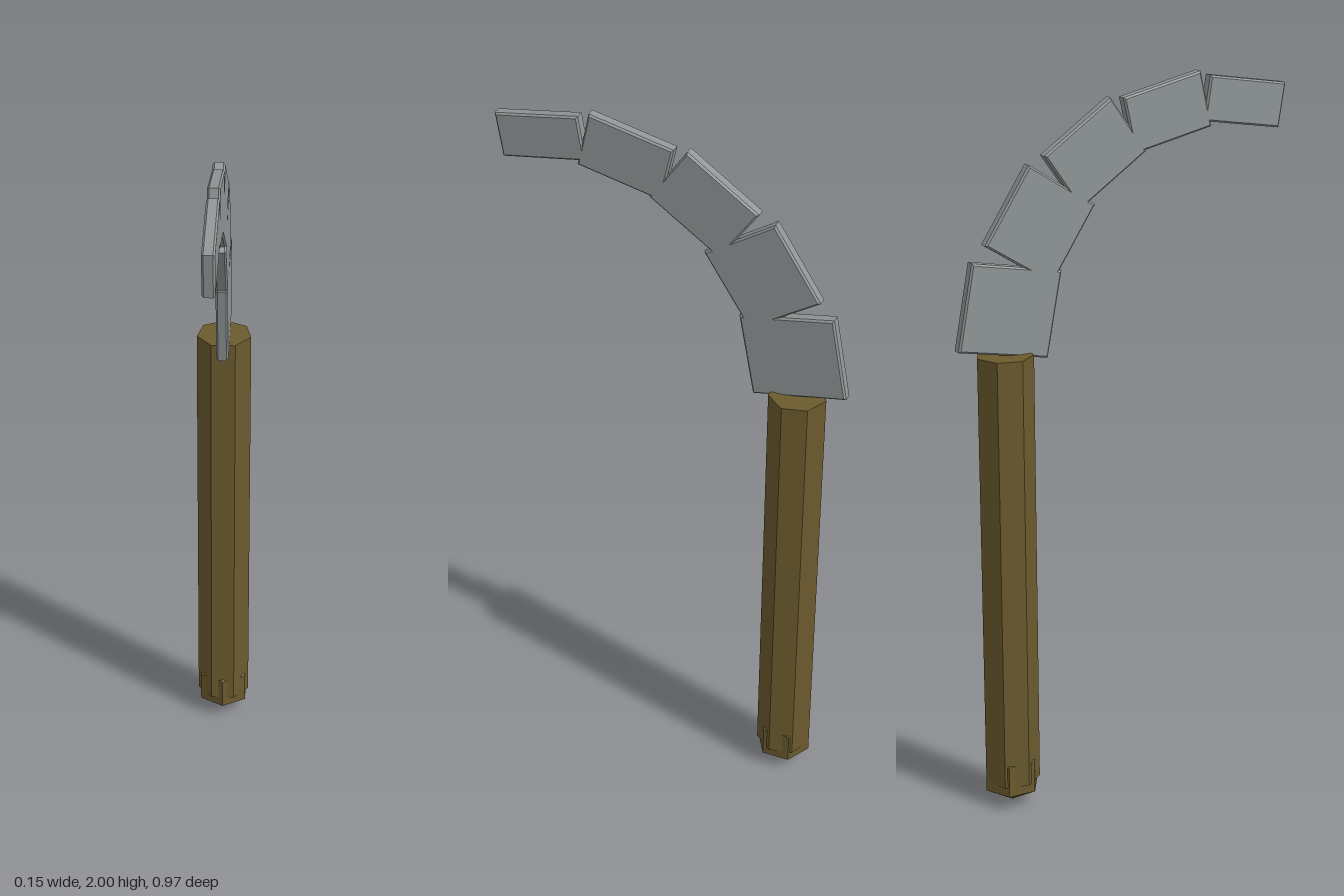
import * as THREE from 'three';

const wood = new THREE.MeshStandardMaterial({ color: 0x6b5a2e, flatShading: true });
const steel = new THREE.MeshStandardMaterial({ color: 0x909696, flatShading: true });

const HANDLE_Z = -0.35;
const THICKNESS = 0.033;
const LENGTH = 0.236;
const BEVEL = 0.005;

// Flat plate with chamfered edges: length along y, width along z, thickness along x
function plateGeometry(width, length) {
  const w = width / 2 - BEVEL, l = length / 2 - BEVEL;
  const shape = new THREE.Shape([
    new THREE.Vector2(-w, -l), new THREE.Vector2(w, -l),
    new THREE.Vector2(w, l), new THREE.Vector2(-w, l),
  ]);
  const depth = THICKNESS - 2 * BEVEL;
  const geometry = new THREE.ExtrudeGeometry(shape, {
    depth, bevelEnabled: true, bevelSize: BEVEL, bevelThickness: BEVEL, bevelSegments: 1,
  });
  return geometry.translate(0, 0, -depth / 2).rotateY(Math.PI / 2);
}

export function createModel() {
  const model = new THREE.Group();
  model.name = 'sickle';

  // Seven-sided handle with one ridge at the back
  const handle = new THREE.Mesh(
    new THREE.CylinderGeometry(0.078, 0.078, 1.225, 7, 1, false, Math.PI), wood);
  handle.name = 'handle';
  handle.position.set(0, 0.6875, HANDLE_Z);
  model.add(handle);

  // Faceted knob closing the lower end
  const pommel = new THREE.Mesh(new THREE.SphereGeometry(0.09, 6, 3, Math.PI / 2), wood);
  pommel.name = 'pommel';
  pommel.position.set(0, 0.093, HANDLE_Z);
  model.add(pommel);

  // Overlapping plates curling forward and narrowing: [z, y, width, tilt in degrees]
  const blade = new THREE.Group();
  blade.name = 'blade';
  [
    [-0.336, 1.419, 0.260, 10.5],
    [-0.246, 1.638, 0.225, 32.6],
    [-0.085, 1.810, 0.181, 55],
    [0.128, 1.900, 0.153, 77],
    [0.363, 1.909, 0.122, 99],
  ].forEach(([z, y, width, tilt], i) => {
    const plate = new THREE.Mesh(plateGeometry(width, LENGTH), steel);
    plate.name = `bladePlate${i + 1}`;
    plate.position.set(0, y, z);
    plate.rotation.x = THREE.MathUtils.degToRad(tilt);
    blade.add(plate);
  });
  model.add(blade);

  return model;
}
